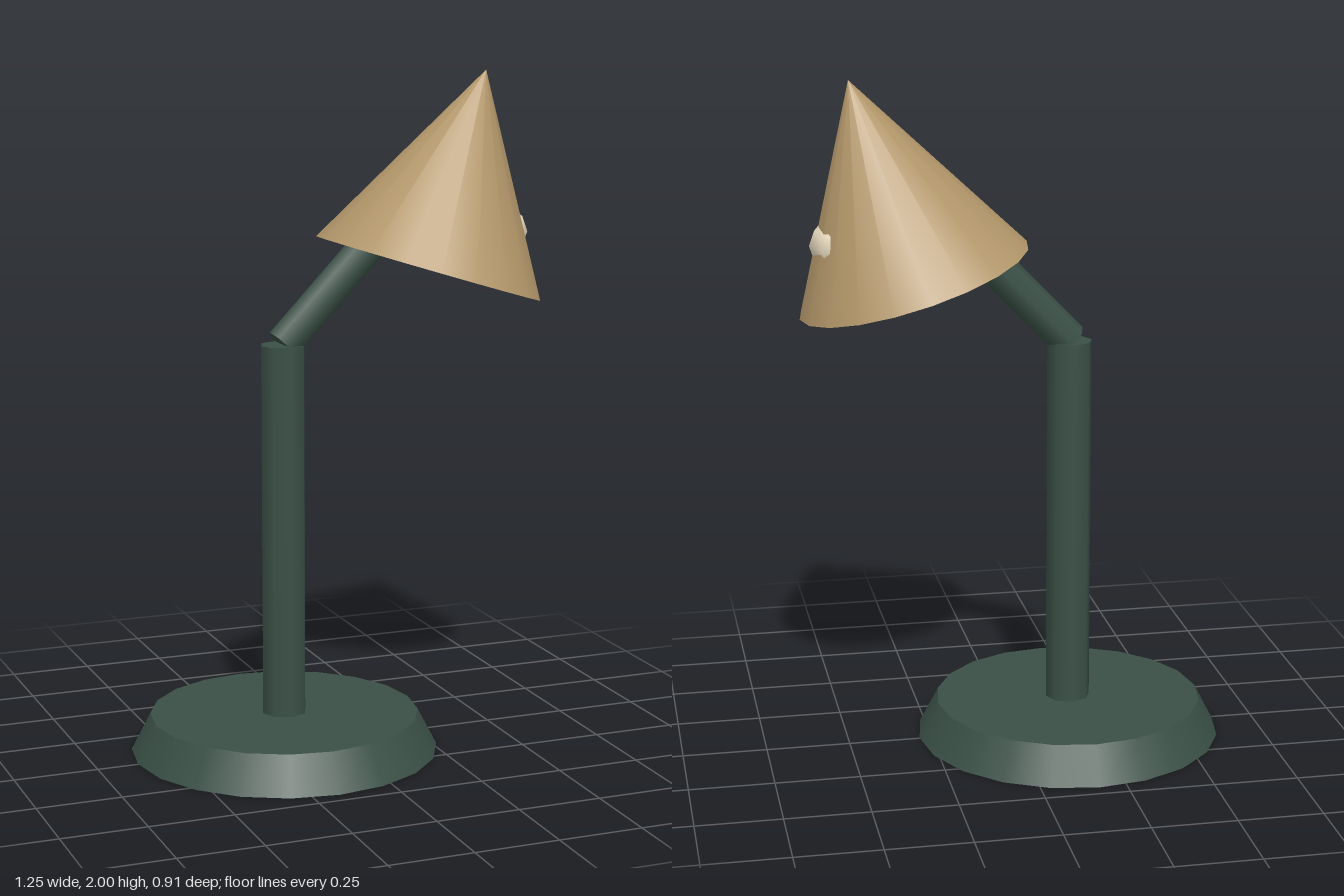
import * as THREE from 'three';

const green = new THREE.MeshStandardMaterial({ color: 0x3a5046 });
const tan = new THREE.MeshStandardMaterial({ color: 0xb3976a, side: THREE.DoubleSide });
const cream = new THREE.MeshStandardMaterial({ color: 0xf0e2c6 });
const UP = new THREE.Vector3(0, 1, 0);

// Places a y-aligned geometry so that it runs from one point to another
function between(name, from, to, makeGeometry, material) {
  const a = new THREE.Vector3(...from);
  const b = new THREE.Vector3(...to);
  const axis = b.clone().sub(a);
  const mesh = new THREE.Mesh(makeGeometry(axis.length()), material);
  mesh.name = name;
  mesh.position.copy(a).add(b).multiplyScalar(0.5);
  mesh.quaternion.setFromUnitVectors(UP, axis.normalize());
  return mesh;
}

export function createModel() {
  const lamp = new THREE.Group();
  lamp.name = 'deskLamp';
  const x = -0.17;

  // Tapered foot, upright post and leaning arm
  lamp.add(
    between('base', [x, 0, 0], [x, 0.11, 0], (h) => new THREE.CylinderGeometry(0.4, 0.457, h, 20), green),
    between('post', [x, 0.11, 0], [x, 1.22, 0], (h) => new THREE.CylinderGeometry(0.067, 0.067, h, 8), green),
    between('arm', [x, 1.22, 0], [0.2, 1.605, 0], (h) => new THREE.CylinderGeometry(0.055, 0.055, h, 8), green)
  );

  // Open conical shade, tilted
  lamp.add(
    between('shade', [0.29, 1.42, 0], [0.47, 2, 0], (h) => new THREE.ConeGeometry(0.347, h, 20, 1, true), tan)
  );

  // Flattened bulb that just breaks through the shade
  const bulb = new THREE.Mesh(new THREE.SphereGeometry(1, 12, 8), cream);
  bulb.name = 'bulb';
  bulb.scale.set(0.2, 0.115, 0.2);
  bulb.position.set(0.39, 1.53, 0);
  lamp.add(bulb);

  return lamp;
}
